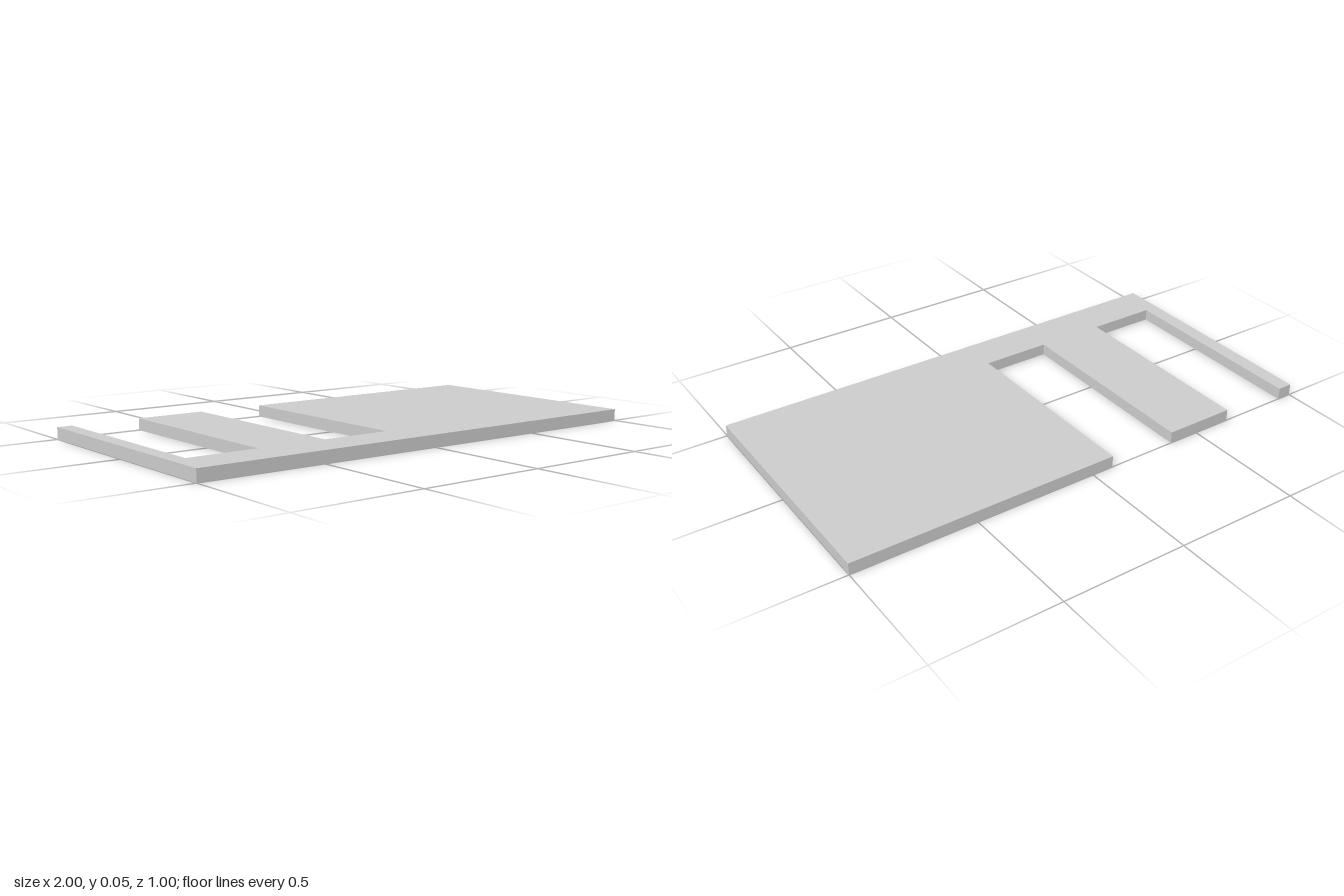
import * as THREE from 'three';

const THICKNESS = 0.047;
const FRONT = -0.5, BACK = 0.5; // outline y is -z
const SLOT_END = -0.333;
const SLOTS = [[-0.94, -0.657], [-0.373, -0.09]]; // x range of each slot

export function createModel() {
  const group = new THREE.Group();
  group.name = 'slottedPlate';

  // Plate outline, with the slots open at the back edge
  const outline = new THREE.Shape();
  outline.moveTo(-1, FRONT);
  outline.lineTo(1, FRONT);
  outline.lineTo(1, BACK);
  for (const [x0, x1] of [...SLOTS].reverse()) {
    outline.lineTo(x1, BACK);
    outline.lineTo(x1, SLOT_END);
    outline.lineTo(x0, SLOT_END);
    outline.lineTo(x0, BACK);
  }
  outline.lineTo(-1, BACK);
  outline.closePath();

  // Lay the extrusion flat on the ground
  const geometry = new THREE.ExtrudeGeometry(outline, { depth: THICKNESS, bevelEnabled: false });
  geometry.rotateX(-Math.PI / 2);

  const plate = new THREE.Mesh(geometry, new THREE.MeshStandardMaterial({ color: 0xcccccc }));
  plate.name = 'plate';
  group.add(plate);
  return group;
}
